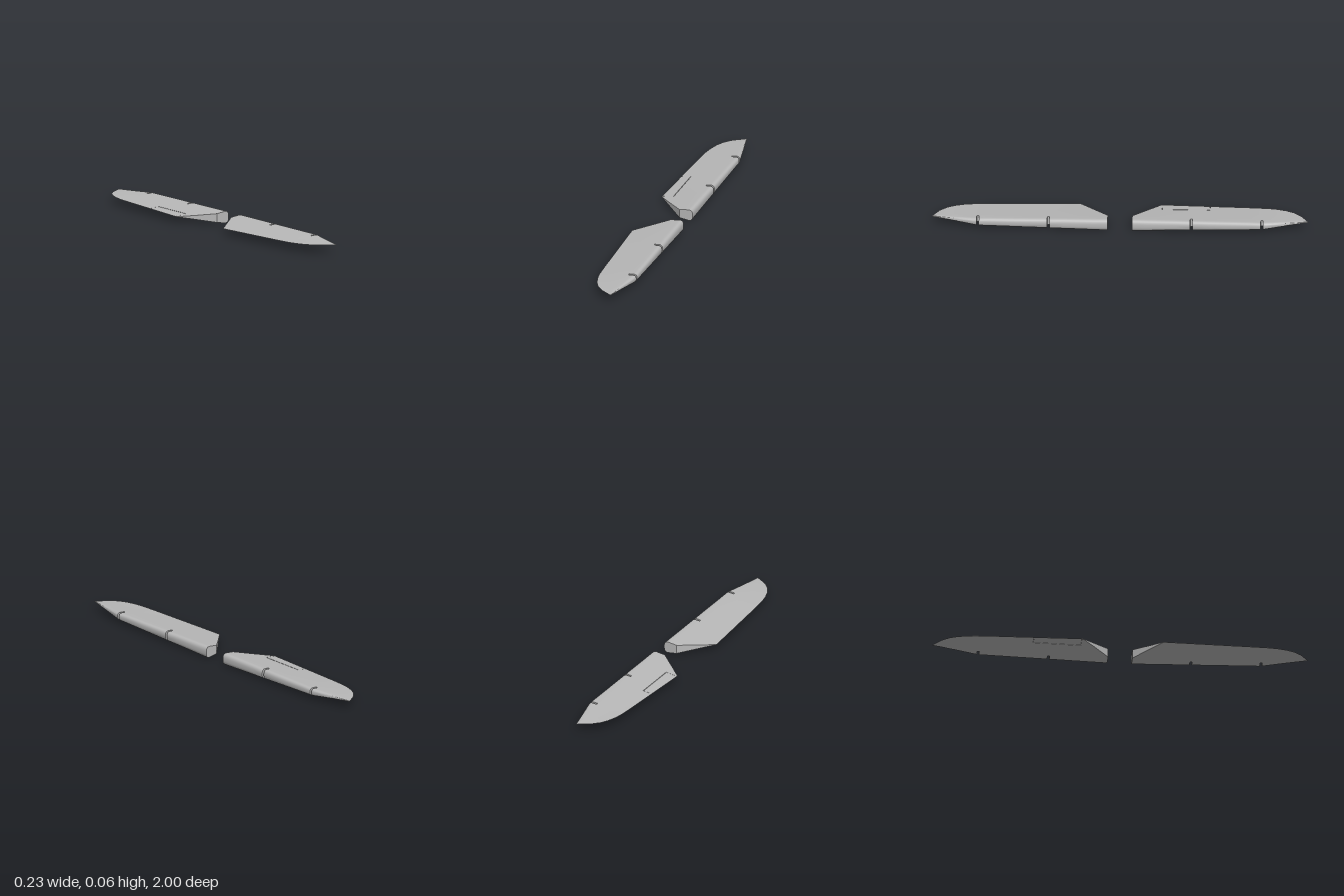
import * as THREE from 'three';
import { toCreasedNormals } from 'three/addons/utils/BufferGeometryUtils.js';

// Linear lookup in a short list of [key, value] pairs
function lerpTable(table, k) {
  if (k <= table[0][0]) return table[0][1];
  for (let i = 1; i < table.length; i++) {
    const [k0, v0] = table[i - 1], [k1, v1] = table[i];
    if (k <= k1) return v0 + (v1 - v0) * (k - k0) / (k1 - k0);
  }
  return table[table.length - 1][1];
}

// Half thickness along the chord: thin trailing edge (0) to rounded nose (1)
const PROFILE = [[0, 0.01], [0.4, 0.45], [0.75, 0.84], [0.88, 0.97], [0.92, 1],
  [0.95, 0.96], [0.975, 0.82], [0.992, 0.6], [1, 0.3]];
// Plan outline and thickness by distance from the centre
const TRAILING = [[0.065, -0.122], [0.215, -0.12], [0.7, -0.094], [0.78, -0.088], [0.83, -0.079],
  [0.88, -0.063], [0.92, -0.042], [0.96, -0.005], [0.985, 0.034], [1, 0.058]];
const LEADING = [[0.762, 0.115], [1, 0.062]];
const ROOT_CUT = [[0.065, 0.04], [0.215, -0.122]];
const HALF = [[0.065, 0.0315], [0.75, 0.0205], [1, 0.002]];
const MIDDLE = [[0.065, 0.0325], [0.75, 0.0405], [1, 0.046]];

const SLOTS = [0.38, 0.755], SLOT_HALF = 0.006, SLOT_X = 0.07;
const TAB = { start: 0.22, end: 0.475, hinge: -0.055, gap: 0.0015 };

// Closed ring of points at one station, limited to lo..hi across the chord
function section({ z, lo = -1, hi = 1 }) {
  const xt = lerpTable(TRAILING, z), chord = lerpTable(LEADING, z) - xt;
  const low = Math.max(lo, lerpTable(ROOT_CUT, z)), h = lerpTable(HALF, z), mid = lerpTable(MIDDLE, z);
  const half = PROFILE.map(([t]) => {
    const x = Math.min(hi, Math.max(low, xt + t * chord));
    return [x, h * lerpTable(PROFILE, (x - xt) / chord)];
  });
  return [
    ...half.map(([x, y]) => new THREE.Vector3(x, mid + y, z)),
    ...half.reverse().map(([x, y]) => new THREE.Vector3(x, mid - y, z)),
  ];
}

// Skin a list of stations, close both ends; side = 1 or -1 along z
function loft(stations, side) {
  const rings = stations.map(section), n = rings[0].length, out = [];
  const tri = (a, b, c) => {
    const area = b.clone().sub(a).cross(c.clone().sub(a)).length();
    if (area < 1e-10) return;
    for (const p of side > 0 ? [a, b, c] : [a, c, b]) out.push(p.x, p.y, p.z * side);
  };
  for (let i = 0; i + 1 < rings.length; i++) {
    for (let j = 0; j < n; j++) {
      const k = (j + 1) % n, A = rings[i], B = rings[i + 1];
      tri(A[j], B[j], B[k]);
      tri(A[j], B[k], A[k]);
    }
  }
  const first = rings[0], last = rings[rings.length - 1];
  for (let j = 1; j + 1 < n; j++) {
    tri(first[0], first[j], first[j + 1]);
    tri(last[0], last[j + 1], last[j]);
  }
  const geo = new THREE.BufferGeometry();
  geo.setAttribute('position', new THREE.Float32BufferAttribute(out, 3));
  return toCreasedNormals(geo, 0.6);
}

// Stations of one panel, doubled where a hinge slot or the tab opening begins or ends
function panelStations(hasTab) {
  const list = [0.065, 0.14, 0.215, 0.3, 0.56, 0.7, 0.78, 0.83, 0.88, 0.92, 0.96, 0.985, 1]
    .map((z) => ({ z }));
  for (const s of SLOTS) {
    const a = s - SLOT_HALF, b = s + SLOT_HALF;
    list.push({ z: a }, { z: a, hi: SLOT_X }, { z: b, hi: SLOT_X }, { z: b });
  }
  list.sort((p, q) => p.z - q.z);
  if (!hasTab) return list;
  const lo = TAB.hinge + TAB.gap;
  const inside = list.filter((p) => p.z > TAB.start && p.z < TAB.end).map((p) => ({ ...p, lo }));
  return [
    ...list.filter((p) => p.z < TAB.start), { z: TAB.start }, { z: TAB.start, lo },
    ...inside,
    { z: TAB.end, lo }, { z: TAB.end }, ...list.filter((p) => p.z > TAB.end),
  ];
}

export function createModel() {
  const model = new THREE.Group();
  model.name = 'elevators';
  const grey = new THREE.MeshStandardMaterial({ color: 0xb8b8b8 });
  grey.name = 'plainGrey';
  const add = (name, geometry) => {
    const mesh = new THREE.Mesh(geometry, grey);
    mesh.name = name;
    model.add(mesh);
  };

  // Two mirrored panels; the rear one carries the trim tab
  add('frontPanel', loft(panelStations(false), 1));
  add('rearPanel', loft(panelStations(true), -1));
  const hi = TAB.hinge - TAB.gap;
  add('trimTab', loft([{ z: TAB.start + 0.001, hi }, { z: TAB.end - 0.001, hi }], -1));
  return model;
}
